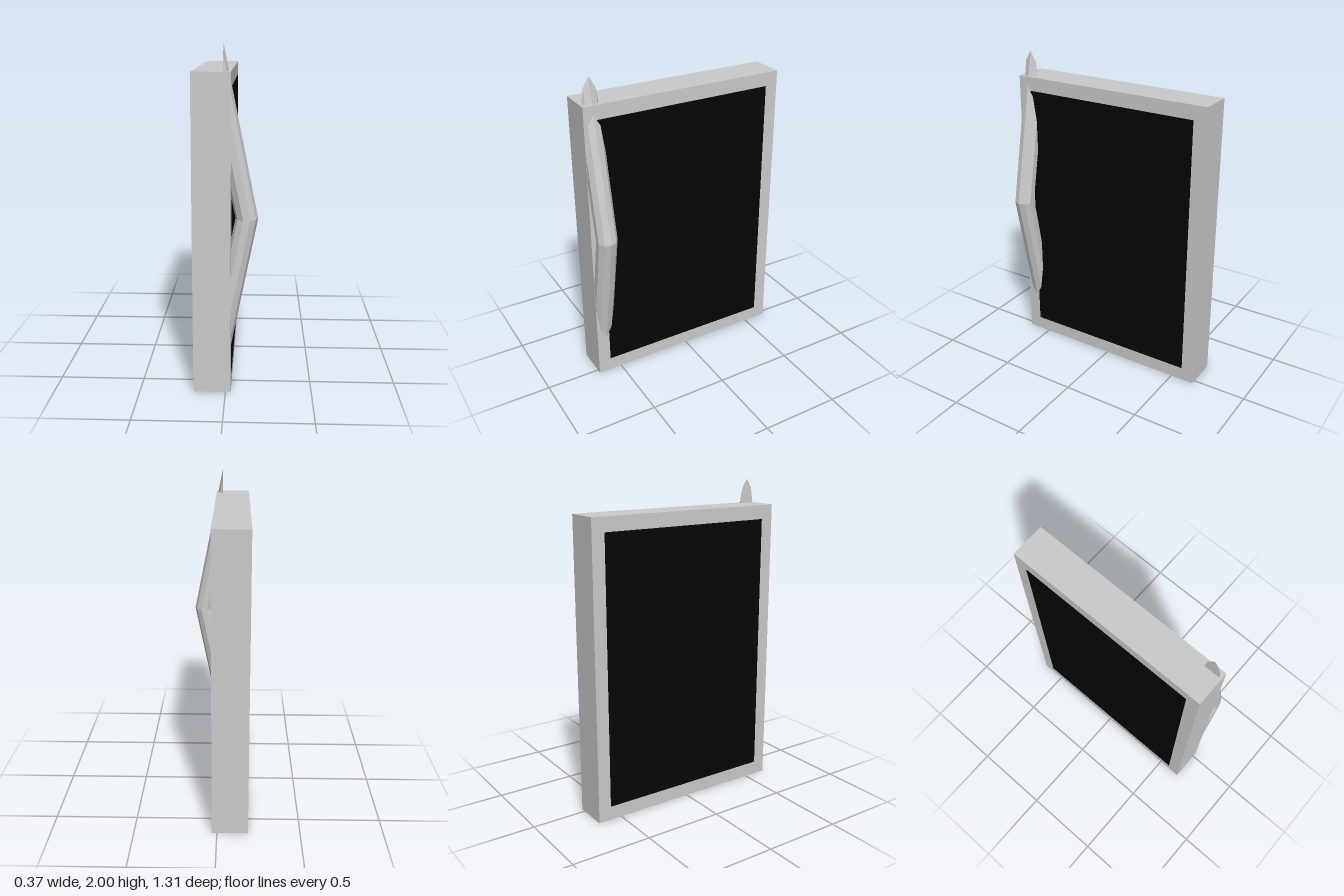
import * as THREE from 'three';

// Bent bar: a ten-sided section swept in a V, with ends sliced upright inside the door
function bentBar({ cx, cz, r, midY, slope, endX, sides }) {
  const rings = [[], [], []];
  for (let i = 0; i < sides; i++) {
    const a = (i / sides) * Math.PI * 2;
    const x = cx + r * Math.cos(a), z = cz + r * Math.sin(a);
    const rise = (x - endX) * slope;
    rings[0].push([endX, midY + rise, z]);
    rings[1].push([x, midY, z]);
    rings[2].push([endX, midY - rise, z]);
  }
  const rise = (cx - endX) * slope;
  const topCentre = [endX, midY + rise, cz], bottomCentre = [endX, midY - rise, cz];
  const pos = [];
  const tri = (...pts) => pts.forEach((p) => pos.push(...p));
  for (let i = 0; i < sides; i++) {
    const j = (i + 1) % sides;
    for (let k = 0; k < 2; k++) {
      const a = rings[k], b = rings[k + 1];
      tri(a[i], a[j], b[i]);
      tri(a[j], b[j], b[i]);
    }
    tri(topCentre, rings[0][j], rings[0][i]);
    tri(bottomCentre, rings[2][i], rings[2][j]);
  }
  const geo = new THREE.BufferGeometry();
  geo.setAttribute('position', new THREE.Float32BufferAttribute(pos, 3));
  geo.computeVertexNormals();
  return geo;
}

export function createModel() {
  const group = new THREE.Group();
  const grey = new THREE.MeshStandardMaterial({ color: 0xcccccc, flatShading: true });
  const black = new THREE.MeshStandardMaterial({ color: 0x050505 });
  const add = (name, geo, mat, x, y, z) => {
    const mesh = new THREE.Mesh(geo, mat);
    mesh.name = name;
    mesh.position.set(x, y, z);
    group.add(mesh);
  };

  // Door slab, with a dark pane showing on both faces
  const doorX = -0.078, thick = 0.218;
  add('doorFrame', new THREE.BoxGeometry(thick, 1.846, 1.31), grey, doorX, 0.923, 0);
  add('doorPane', new THREE.BoxGeometry(thick + 0.003, 1.67, 1.146), black, doorX, 0.923, 0);

  // V-shaped pull handle
  const handle = bentBar({
    cx: 0.119, cz: 0.592, r: 0.064, midY: 1.032, slope: 5.0, endX: -0.0106, sides: 10,
  });
  add('handle', handle, grey, 0, 0, 0);

  return group;
}
